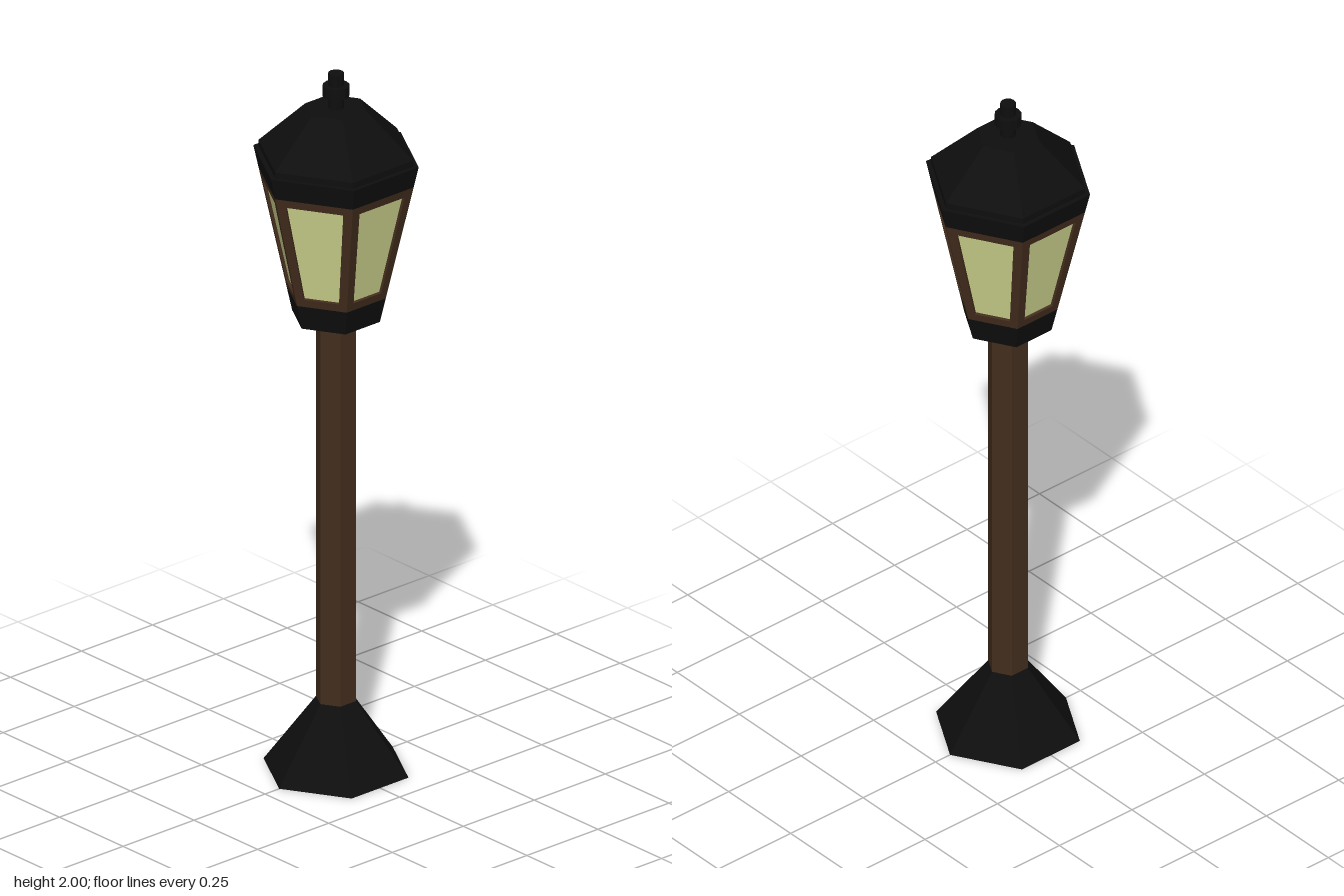
import * as THREE from 'three';

const black = new THREE.MeshStandardMaterial({ color: 0x0e0e0e, flatShading: true });
const wood = new THREE.MeshStandardMaterial({ color: 0x432d1d, flatShading: true });
const glass = new THREE.MeshStandardMaterial({ color: 0xd2d890, flatShading: true });

// Tapered prism from y0 to y1, first corner facing +z
function prism(name, y0, y1, r0, r1, material, sides = 6) {
  const mesh = new THREE.Mesh(new THREE.CylinderGeometry(r1, r0, y1 - y0, sides), material);
  mesh.position.y = (y0 + y1) / 2;
  mesh.name = name;
  return mesh;
}

// Corner radius of the flaring lantern at height y
const lanternRadius = (y) => 0.121 + (y - 1.3) * 0.233;

function trapezoid(Type, h0, h1, w0, w1) {
  return new Type([
    new THREE.Vector2(-w0, h0), new THREE.Vector2(w0, h0),
    new THREE.Vector2(w1, h1), new THREE.Vector2(-w1, h1),
  ]);
}

// One window: wooden frame with an opening and a recessed pane
function createWindow(y0, y1) {
  const r0 = lanternRadius(y0), r1 = lanternRadius(y1);
  const a0 = r0 * Math.cos(Math.PI / 6), a1 = r1 * Math.cos(Math.PI / 6);
  const slope = Math.hypot(y1 - y0, a1 - a0);
  const depth = 0.012, rail = 0.023, stile = 0.024;
  const hole = [rail, slope - rail, r0 / 2 - stile + 0.004, r1 / 2 - stile - 0.004];

  const shape = trapezoid(THREE.Shape, 0, slope, r0 / 2, r1 / 2);
  shape.holes.push(trapezoid(THREE.Path, ...hole));
  const frameGeometry = new THREE.ExtrudeGeometry(shape, { depth, bevelEnabled: false });
  frameGeometry.translate(0, 0, -depth);
  const frame = new THREE.Mesh(frameGeometry, wood);
  frame.name = 'windowFrame';

  const pane = new THREE.Mesh(new THREE.ShapeGeometry(trapezoid(THREE.Shape, ...hole)), glass);
  pane.position.z = -0.008;
  pane.name = 'windowPane';

  const panel = new THREE.Group();
  panel.name = 'window';
  panel.add(frame, pane);
  panel.position.set(0, y0, a0);
  panel.rotation.x = Math.atan2(a1 - a0, y1 - y0);
  return panel;
}

export function createModel() {
  const model = new THREE.Group();
  model.name = 'streetLamp';

  // Foot and post
  model.add(prism('base', 0, 0.2, 0.2, 0.055, black));
  model.add(prism('post', 0.2, 1.3, 0.055, 0.055, wood));

  // Lantern collars
  model.add(prism('lowerCollar', 1.3, 1.37, lanternRadius(1.3), lanternRadius(1.37), black));
  model.add(prism('upperCollar', 1.7, 1.76, lanternRadius(1.7), lanternRadius(1.76), black));

  // Six windows around the lantern
  for (let i = 0; i < 6; i++) {
    const side = new THREE.Group();
    side.name = 'lanternSide';
    side.rotation.y = (i + 0.5) * Math.PI / 3;
    side.add(createWindow(1.37, 1.7));
    model.add(side);
  }

  // Roof
  model.add(prism('roofEdge', 1.76, 1.777, 0.214, 0.214, black));
  model.add(prism('roof', 1.777, 1.9, 0.214, 0.085, black));

  // Finial
  model.add(prism('finialStem', 1.9, 2, 0.021, 0.021, black, 12));
  model.add(prism('finialRing', 1.935, 1.965, 0.036, 0.036, black, 12));

  return model;
}
